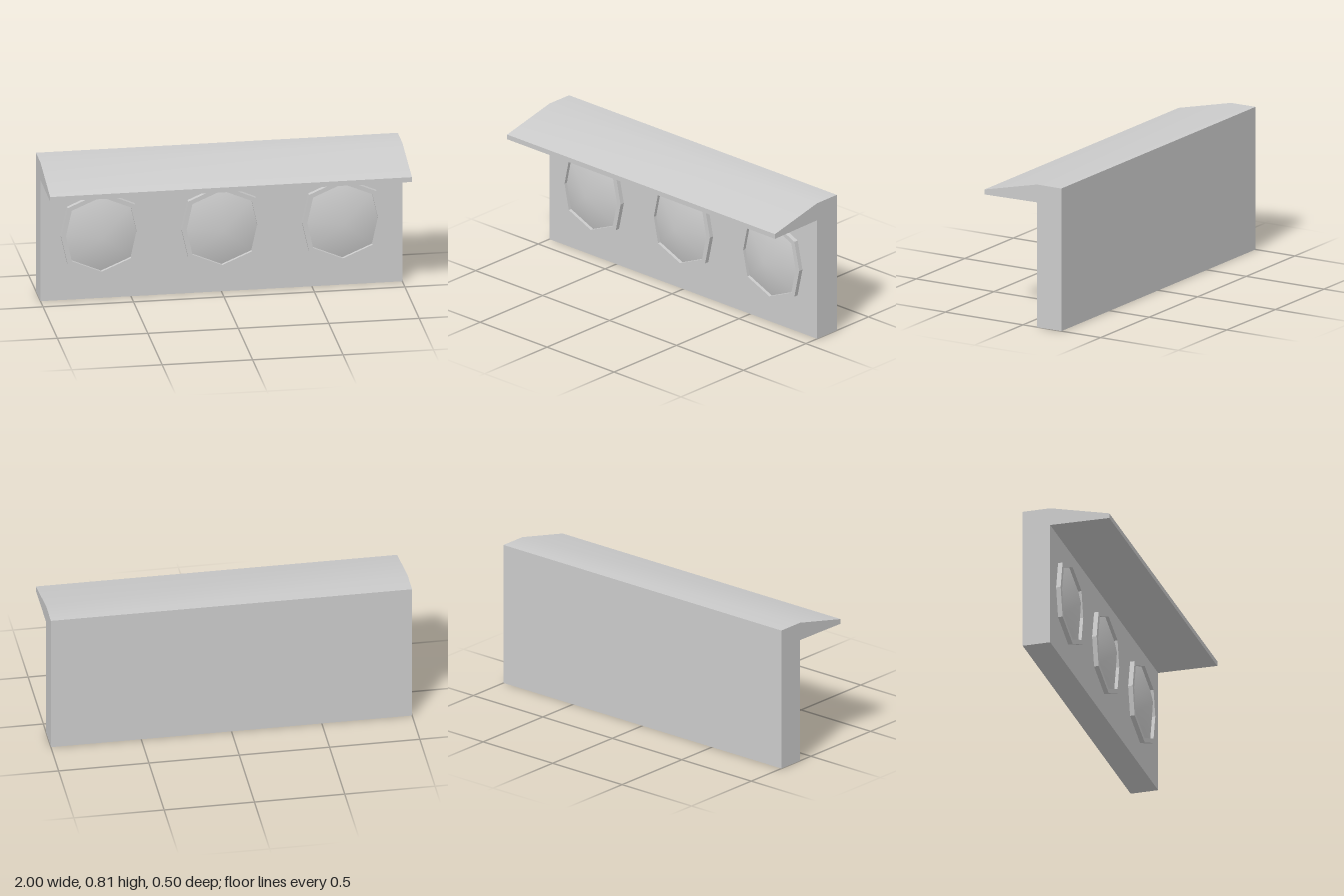
import * as THREE from 'three';
import { toCreasedNormals } from 'three/addons/utils/BufferGeometryUtils.js';

const grey = new THREE.MeshStandardMaterial({ color: 0xcccccc });

// Slightly uneven octagon, counter-clockwise, with a corner on each axis
function octagon(rx, ry, dx, dy) {
  return [[rx, 0], [dx, dy], [0, ry], [-dx, dy], [-rx, 0], [-dx, -dy], [0, -ry], [dx, -dy]]
    .map(([x, y]) => new THREE.Vector2(x, y));
}

const rimOuter = octagon(0.223, 0.244, 0.187, 0.163);
const rimInner = octagon(0.196, 0.217, 0.164, 0.147);

function addMesh(parent, geometry, name) {
  const mesh = new THREE.Mesh(geometry, grey);
  mesh.name = name;
  parent.add(mesh);
  return mesh;
}

// Shallow smooth cone from a recessed octagonal edge to a raised centre
function lensGeometry(baseZ, tipZ) {
  const positions = [0, -0.004, tipZ];
  const index = [];
  rimInner.forEach((p, i) => {
    positions.push(p.x, p.y, baseZ);
    index.push(0, i + 1, ((i + 1) % rimInner.length) + 1);
  });
  const geometry = new THREE.BufferGeometry();
  geometry.setAttribute('position', new THREE.Float32BufferAttribute(positions, 3));
  geometry.setIndex(index);
  geometry.computeVertexNormals();
  return geometry;
}

export function createModel() {
  const model = new THREE.Group();
  model.name = 'signalLamp';

  // Housing and sloping hood: one side profile (z, y) swept across the width
  const profile = [
    [-0.247, 0], [-0.247, 0.807], [-0.09, 0.807], [0.248, 0.73],
    [0.248, 0.702], [-0.09, 0.706], [-0.09, 0],
  ];
  const side = new THREE.Shape(profile.map(([z, y]) => new THREE.Vector2(-z, y)));
  const housing = new THREE.ExtrudeGeometry(side, { depth: 2, bevelEnabled: false });
  housing.rotateY(Math.PI / 2).translate(-1, 0, 0);
  addMesh(model, toCreasedNormals(housing, 0.35), 'housingWithHood');

  // Three lamps in a row, each a raised rim around a lens
  const rimShape = new THREE.Shape(rimOuter);
  rimShape.holes.push(new THREE.Path(rimInner));
  const rim = new THREE.ExtrudeGeometry(rimShape, { depth: 0.026, bevelEnabled: false });
  const lens = lensGeometry(0.007, 0.073);

  ['rightLamp', 'middleLamp', 'leftLamp'].forEach((name, i) => {
    const lamp = new THREE.Group();
    lamp.name = name;
    lamp.position.set((i - 1) * 0.667, 0.379, -0.09);
    addMesh(lamp, rim, 'rim');
    addMesh(lamp, lens, 'lens');
    model.add(lamp);
  });

  return model;
}
